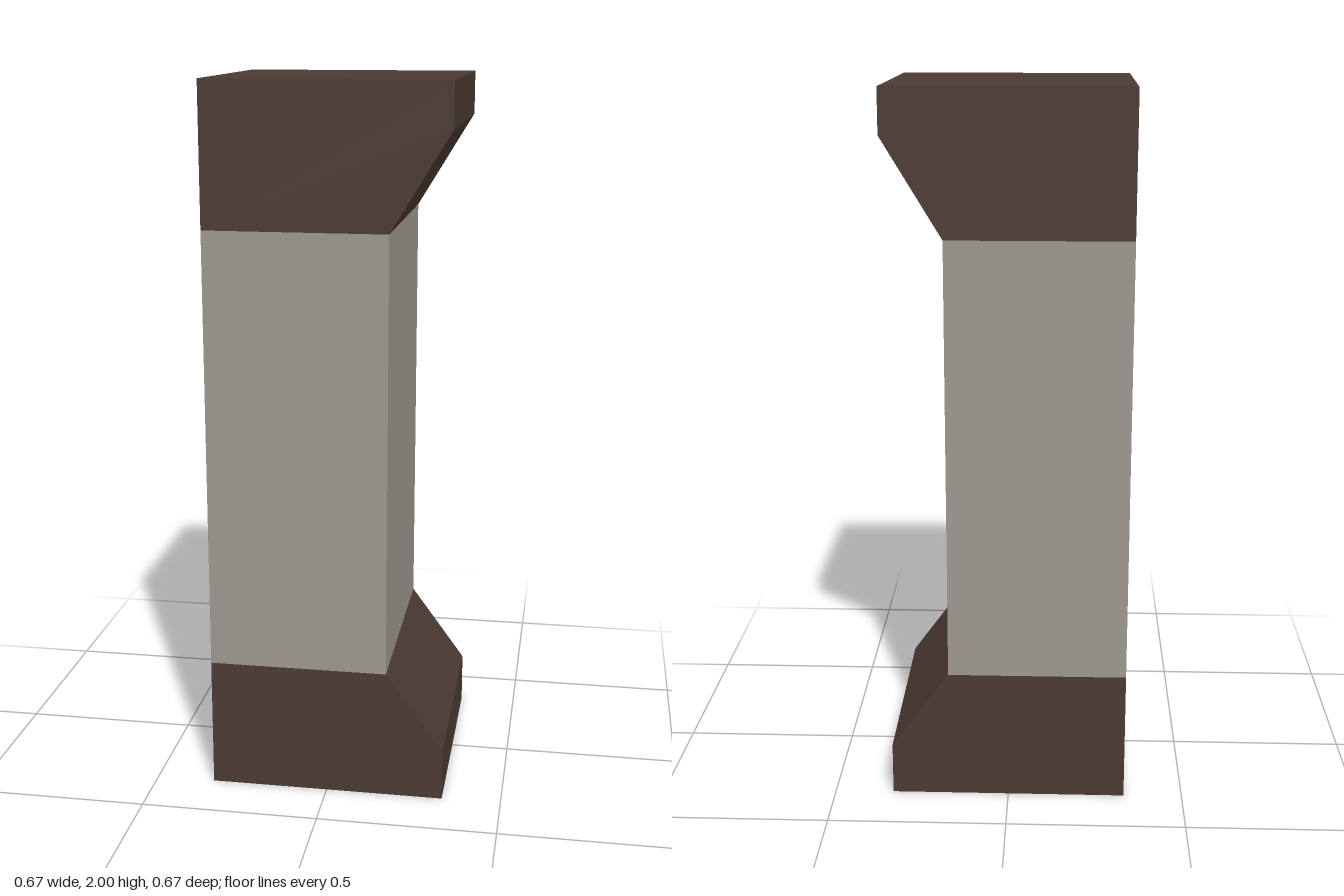
import * as THREE from 'three';

const BACK = -0.333, SHAFT = 0.17, LIP = 0.333, DEPTH = 0.666;

// Extrudes a front outline along z, centred on z = 0
function prism(name, points, material) {
  const shape = new THREE.Shape(points.map(([x, y]) => new THREE.Vector2(x, y)));
  const geometry = new THREE.ExtrudeGeometry(shape, { depth: DEPTH, bevelEnabled: false });
  geometry.translate(0, 0, -DEPTH / 2);
  const mesh = new THREE.Mesh(geometry, material);
  mesh.name = name;
  return mesh;
}

export function createModel() {
  const brown = new THREE.MeshStandardMaterial({ color: 0x4b3a33 });
  brown.name = 'dark brown';
  const grey = new THREE.MeshStandardMaterial({ color: 0x9c9890 });
  grey.name = 'warm grey';

  const group = new THREE.Group();
  group.name = 'pillar';

  // Foot with a sloped shoulder on one side
  group.add(prism('base', [
    [BACK, 0], [LIP, 0], [LIP, 0.148], [SHAFT, 0.372], [BACK, 0.372],
  ], brown));

  // Plain rectangular shaft
  group.add(prism('shaft', [
    [BACK, 0.372], [SHAFT, 0.372], [SHAFT, 1.608], [BACK, 1.608],
  ], grey));

  // Head flaring out to the same side, with a steeper slope
  group.add(prism('capital', [
    [BACK, 1.608], [SHAFT, 1.608], [LIP, 1.877], [LIP, 2], [BACK, 2],
  ], brown));

  return group;
}
